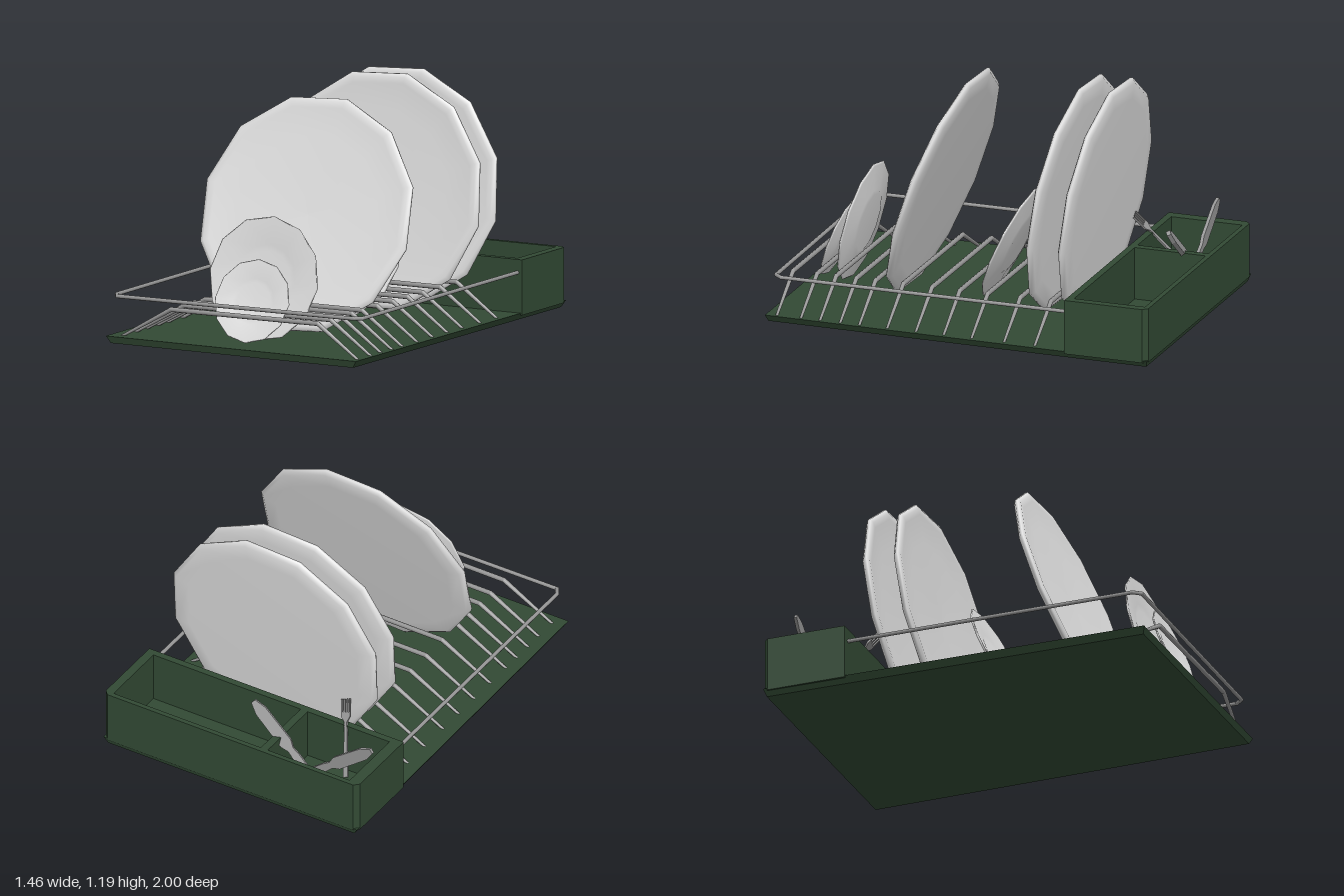
import * as THREE from 'three';

const green = new THREE.MeshStandardMaterial({ color: 0x324a34 });
green.name = 'darkGreen';
const white = new THREE.MeshStandardMaterial({ color: 0xe2e2e2 });
white.name = 'porcelain';
const steel = new THREE.MeshStandardMaterial({ color: 0x969696 });
steel.name = 'steel';

function add(parent, name, geometry, material) {
  const mesh = new THREE.Mesh(geometry, material);
  mesh.name = name;
  parent.add(mesh);
  return mesh;
}

function group(parent, name) {
  const g = new THREE.Group();
  g.name = name;
  parent.add(g);
  return g;
}

// Point an object's y axis from a to b, centred between them
function place(object, a, b) {
  const dir = b.clone().sub(a).normalize();
  object.position.copy(a).add(b).multiplyScalar(0.5);
  object.quaternion.setFromUnitVectors(new THREE.Vector3(0, 1, 0), dir);
}

// Wire through a list of points, one radius per point, with round joints
function wire(parent, name, points, radii) {
  const g = group(parent, name);
  const v = points.map((p) => new THREE.Vector3(...p));
  for (let i = 0; i + 1 < v.length; i++) {
    const rod = new THREE.CylinderGeometry(radii[i + 1], radii[i], v[i].distanceTo(v[i + 1]), 8);
    place(add(g, 'rod', rod, steel), v[i], v[i + 1]);
    if (i > 0) add(g, 'joint', new THREE.SphereGeometry(radii[i], 8, 6), steel).position.copy(v[i]);
  }
}

// Twelve-sided plate standing on edge, leaning back
function plate(parent, name, profile, spin, y, z, lean) {
  const geo = new THREE.LatheGeometry(profile.map(([r, d]) => new THREE.Vector2(r, d)), 12);
  geo.rotateX(Math.PI / 2).rotateZ(spin);
  const mesh = add(parent, name, geo, white);
  mesh.position.set(0.035, y, z);
  mesh.rotation.x = -lean;
}

function rect(x0, y0, x1, y1) {
  return new THREE.Path([[x0, y0], [x1, y0], [x1, y1], [x0, y1]].map((p) => new THREE.Vector2(...p)));
}

// Flat blade outline, symmetrical about y, extruded thin
function blade(half, depth) {
  const pts = [...half, ...half.map(([x, y]) => [-x, y]).reverse()];
  const shape = new THREE.Shape(pts.map((p) => new THREE.Vector2(...p)));
  return new THREE.ExtrudeGeometry(shape, { depth, bevelEnabled: false }).translate(0, 0, -depth / 2);
}

export function createModel() {
  const model = new THREE.Group();
  model.name = 'dishRack';

  // Tray, slightly narrower at the front and chamfered underneath
  const trayGeo = new THREE.BoxGeometry(2, 0.035, 2).toNonIndexed();
  const pos = trayGeo.attributes.position;
  for (let i = 0; i < pos.count; i++) {
    const low = pos.getY(i) < 0 ? 0.022 : 0;
    const z = pos.getZ(i);
    pos.setX(i, pos.getX(i) * ((z > 0 ? 0.707 : 0.728) - low));
    pos.setZ(i, z - Math.sign(z) * low * 0.5);
  }
  trayGeo.computeVertexNormals();
  add(model, 'tray', trayGeo, green).position.y = 0.0175;

  // Cutlery box with two compartments
  const outline = new THREE.Shape([
    [-0.73, 0.57], [0.73, 0.57], [0.73, 0.975], [0.705, 1], [-0.705, 1], [-0.73, 0.975],
  ].map((p) => new THREE.Vector2(...p)));
  outline.holes.push(rect(-0.67, 0.605, -0.2, 0.975), rect(-0.16, 0.605, 0.685, 0.975));
  const boxGeo = new THREE.ExtrudeGeometry(outline, { depth: 0.275, bevelEnabled: false });
  add(model, 'cutleryBox', boxGeo.rotateX(-Math.PI / 2), green).position.y = 0.025;

  // Plate-holding wires
  const rack = group(model, 'rack');
  for (const z of [0.945, 0.82, 0.72, 0.615, 0.515, 0.37, 0.22, 0.075, -0.07, -0.24, -0.4]) {
    wire(rack, 'rackWire', [[-0.65, 0.03, z], [-0.37, 0.188, z], [0.46, 0.192, z], [0.69, 0.03, z]],
      [0.007, 0.012, 0.012, 0.007]);
  }

  // Guard rail around the front and sides
  wire(model, 'guardRail', [[-0.685, 0.235, -0.58], [-0.685, 0.235, 0.93], [-0.66, 0.232, 0.97],
    [0.67, 0.237, 0.955], [0.697, 0.235, 0.92], [0.703, 0.235, -0.58]], Array(6).fill(0.01));

  // Dinner plates
  const large = [[0, -0.022], [0.5, -0.022], [0.575, -0.016], [0.597, 0], [0.595, 0.012],
    [0.575, 0.021], [0.545, 0.018], [0.4, 0.003], [0, -0.004]];
  const dishes = group(model, 'plates');
  const spin = THREE.MathUtils.degToRad(18);
  plate(dishes, 'dinnerPlate', large, spin, 0.6, 0.32, 0.31);
  plate(dishes, 'dinnerPlate', large, spin, 0.615, -0.36, 0.14);
  plate(dishes, 'dinnerPlate', large, spin, 0.615, -0.525, 0.13);

  // Saucers, with a raised foot behind
  const saucer = [[0, -0.028], [0.15, -0.028], [0.17, -0.022], [0.3, -0.003], [0.309, 0.004],
    [0.303, 0.01], [0.17, -0.006], [0.14, -0.012], [0, -0.014]];
  plate(dishes, 'sidePlate', saucer, -0.07, 0.345, 0.735, 0.21);
  plate(dishes, 'sidePlate', saucer, -0.07, 0.332, -0.05, 0.4);
  plate(dishes, 'saucer', saucer.map(([r, d]) => [r * 0.68, d * 0.8]), 0, 0.25, 0.85, 0.335);

  // Cutlery leaning in the narrow compartment
  const cutlery = group(model, 'cutlery');
  const stand = (name, geo, a, b) =>
    place(add(cutlery, name, geo, steel), new THREE.Vector3(...a), new THREE.Vector3(...b));
  const knife = [[0.012, -0.3], [0.02, -0.05], [0.016, 0], [0.032, 0.04], [0.03, 0.24], [0.012, 0.3]];
  stand('knife', blade(knife, 0.022).rotateY(0.5), [-0.48, 0.05, -0.865], [-0.03, 0.44, -0.83]);
  stand('spreader', blade(knife.map(([x, y]) => [x * 1.05, y * 0.96]), 0.016),
    [-0.25, 0.06, -0.835], [-0.71, 0.405, -0.835]);

  // Fork with four tines
  const fork = group(cutlery, 'fork');
  add(fork, 'handle', blade([[0.013, -0.19], [0.007, 0.08], [0.026, 0.11], [0.026, 0.13]], 0.01), steel);
  for (let i = 0; i < 4; i++) {
    add(fork, 'tine', new THREE.BoxGeometry(0.007, 0.07, 0.009), steel).position.set(-0.0225 + i * 0.015, 0.16, 0);
  }
  place(fork, new THREE.Vector3(-0.505, 0.11, -0.745), new THREE.Vector3(-0.375, 0.39, -0.53));

  return model;
}
